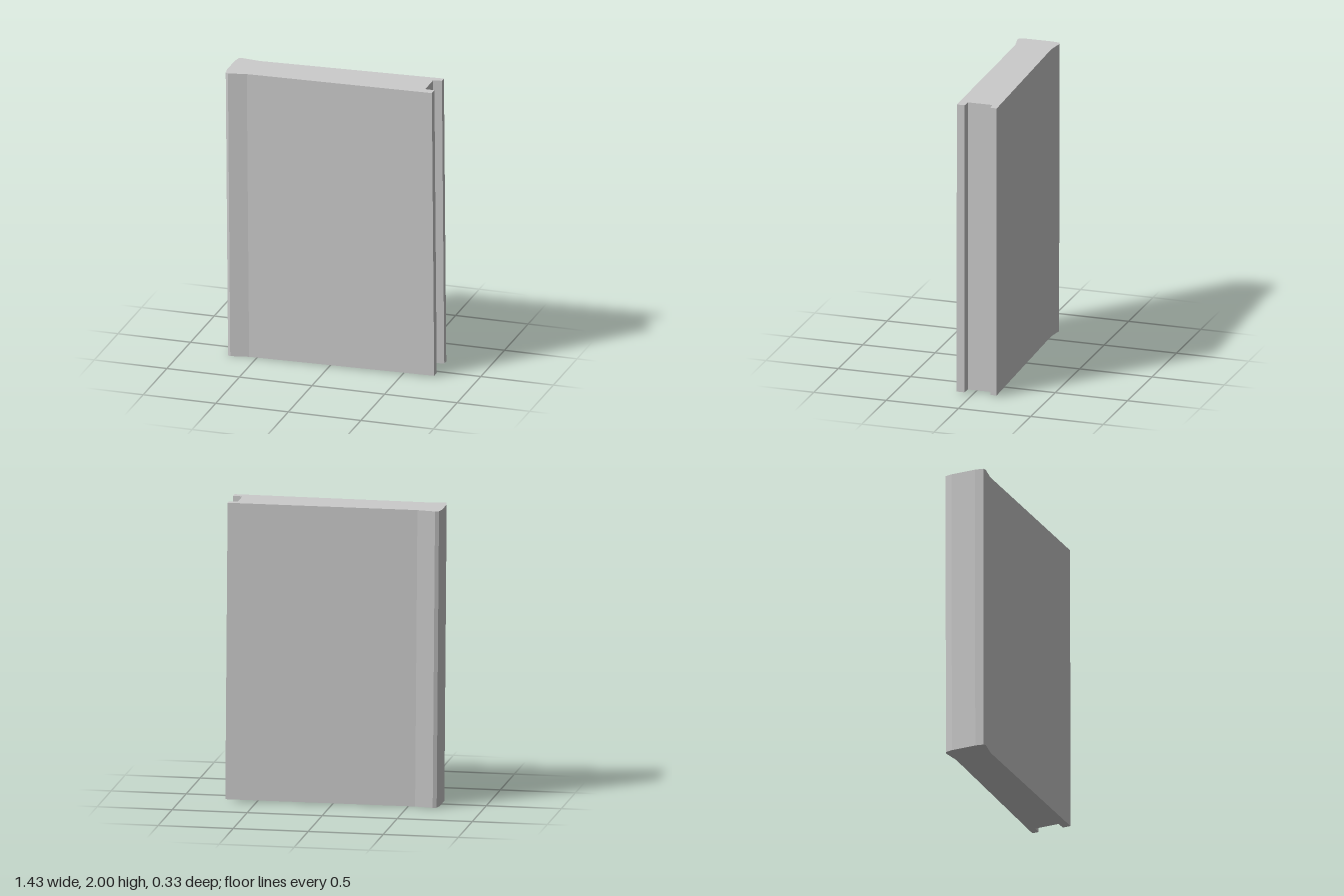
import * as THREE from 'three';

const HEIGHT = 1.986;

// Upright prism from an outline of [x, z] points, centred on its own height
function prism(name, outline, material) {
  const shape = new THREE.Shape(outline.map(([x, z]) => new THREE.Vector2(x, -z)));
  const geometry = new THREE.ExtrudeGeometry(shape, { depth: HEIGHT, bevelEnabled: false });
  geometry.rotateX(-Math.PI / 2);
  geometry.translate(0, -HEIGHT / 2, 0);
  const mesh = new THREE.Mesh(geometry, material);
  mesh.name = name;
  return mesh;
}

export function createModel() {
  const model = new THREE.Group();
  model.name = 'book';
  const material = new THREE.MeshStandardMaterial({ color: 0xcccccc, flatShading: true });

  // Inner corners shared by the covers, the spine and the page block
  const backSpine = [-0.69, -0.074];
  const frontSpine = [-0.69, 0.096];
  const backEdge = [0.643, -0.113];
  const frontEdge = [0.643, 0.054];

  // Boards, each flaring at the hinge next to the spine
  const backCover = prism('backCover', [
    [0.701, -0.163], [-0.555, -0.115], [-0.675, -0.131], [-0.7, -0.122], [-0.71, -0.074],
    backSpine, backEdge, [0.701, -0.12],
  ], material);
  const frontCover = prism('frontCover', [
    [0.707, 0.111], [-0.56, 0.136], [-0.682, 0.16], [-0.7, 0.152], [-0.71, 0.096],
    frontSpine, frontEdge, [0.707, 0.057],
  ], material);

  const spine = prism('spine', [[-0.71, -0.074], [-0.71, 0.096], frontSpine, backSpine], material);
  const pages = prism('pageBlock', [backSpine, frontSpine, frontEdge, backEdge], material);

  // The whole book leans very slightly
  const book = new THREE.Group();
  book.name = 'leaningBook';
  book.add(backCover, frontCover, spine, pages);
  book.rotation.set(0.002, 0, 0.0075);
  book.position.y = 1;
  model.add(book);
  return model;
}
